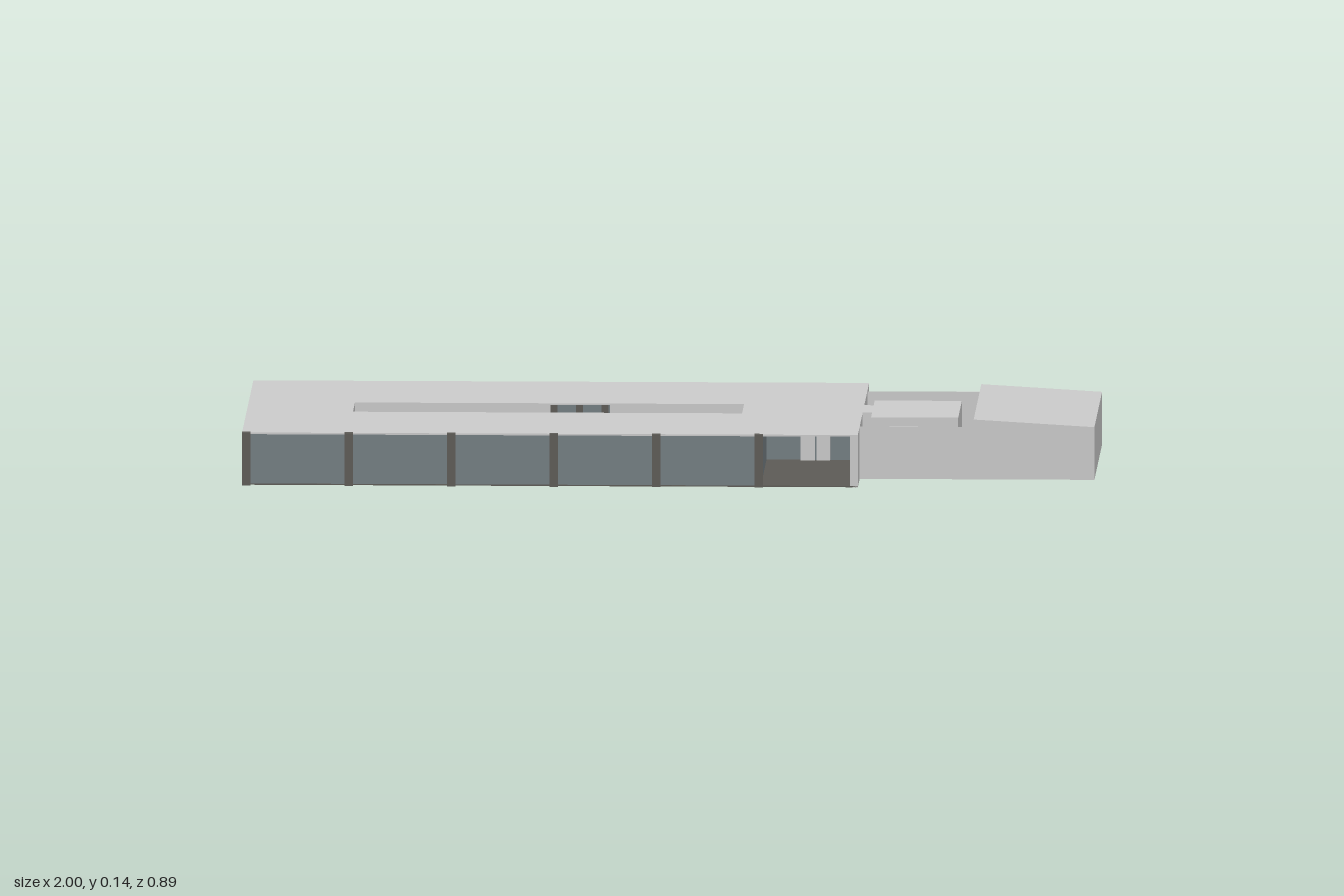
import * as THREE from 'three';

export function createModel() {
  const model = new THREE.Group();
  const mat = (name, color) => {
    const m = new THREE.MeshStandardMaterial({ color, side: THREE.DoubleSide });
    m.name = name;
    return m;
  };
  const concrete = mat('pale concrete', 0xcacaca);
  const dark = mat('dark stone', 0x5c5a55);
  const glass = mat('grey blue glass', 0x737d81);

  const add = (name, geometry, material) => {
    const mesh = new THREE.Mesh(geometry, material);
    mesh.name = name;
    model.add(mesh);
    return mesh;
  };
  // box given by its lower and upper limits on each axis
  const block = (name, material, x0, x1, y0, y1, z0, z1) => {
    const mesh = add(name, new THREE.BoxGeometry(x1 - x0, y1 - y0, z1 - z0), material);
    mesh.position.set((x0 + x1) / 2, (y0 + y1) / 2, (z0 + z1) / 2);
    return mesh;
  };

  const TOP = 0.124, CEIL = 0.12, T = 0.004;
  const FRONT = 0.432, BACK = -0.445, END = 0.448, BAY = 0.22;

  // floor slab, and roof with a long courtyard opening
  block('hallFloor', dark, -1, END, 0, 0.003, BACK, FRONT);
  const plan = new THREE.Shape([[-1, -FRONT], [END, -FRONT], [END, -BACK], [-1, -BACK]]
    .map(([x, y]) => new THREE.Vector2(x, y)));
  plan.holes.push(new THREE.Path([[-0.75, -0.075], [-0.75, 0.08], [0.165, 0.08], [0.165, -0.075]]
    .map(([x, y]) => new THREE.Vector2(x, y))));
  const roof = add('hallRoof',
    new THREE.ExtrudeGeometry(plan, { depth: TOP - CEIL, bevelEnabled: false }), concrete);
  roof.rotation.x = -Math.PI / 2;
  roof.position.y = CEIL;

  // long glazed facades, with open porches at the +x end
  block('frontGlazing', glass, -0.998, BAY, 0.003, CEIL, FRONT - 0.006, FRONT - 0.001);
  block('backGlazing', glass, -0.998, BAY, 0.003, CEIL, BACK + 0.002, BACK + 0.006);
  for (let i = 0; i < 6; i++) {
    const x = -0.99 + i * 0.241;
    block('frontColumn', dark, x - 0.01, x + 0.01, 0, TOP + 0.001, FRONT - 0.008, 0.445);
    block('backMullion', concrete, x - 0.008, x + 0.008, 0, CEIL, BACK, BACK + 0.01);
  }
  block('porchReturnFront', glass, BAY - T, BAY, 0.003, CEIL, 0.01, FRONT - 0.006);
  block('porchReturnBack', glass, BAY - T, BAY, 0.003, CEIL, BACK + 0.006, -0.02);
  block('porchScreen', glass, BAY, END - T, 0.003, CEIL, -0.01, -0.006);
  block('porchDoor', concrete, 0.3, 0.334, 0.003, 0.108, -0.004, 0.004);
  block('porchDoor', concrete, 0.338, 0.37, 0.003, 0.1, -0.004, 0.004);

  // end walls, each with a central opening
  block('linkEndWall', concrete, END - T, END, 0, CEIL, 0.055, FRONT);
  block('linkEndWall', concrete, END - T, END, 0, CEIL, BACK, -0.07);
  block('endWallStub', concrete, 0.43, END, 0, CEIL, FRONT - 0.005, FRONT);
  block('endWallStub', concrete, 0.43, END, 0, CEIL, BACK, BACK + 0.005);
  block('entranceWall', concrete, -1, -1 + T, 0, CEIL, BACK, -0.15);
  block('entranceWall', concrete, -1, -1 + T, 0, CEIL, 0.11, FRONT);
  block('entranceGlass', glass, -0.975, -0.972, 0.003, CEIL, -0.15, 0.11);
  for (const z of [-0.15, -0.11, 0.07, 0.1]) {
    block('entranceFrame', concrete, -1, -0.972, 0.003, CEIL, z, z + 0.01);
  }

  // courtyard sides: solid walls, glazing and doors
  for (const z of [-0.084, 0.075]) {
    block('courtWall', concrete, -0.75, -0.49, 0.003, CEIL, z, z + T);
  }
  block('courtEndWall', concrete, -0.754, -0.75, 0.003, CEIL, -0.084, 0.079);
  block('courtWall', concrete, -0.49, -0.29, 0.003, CEIL, -0.12, -0.116);
  block('courtWall', concrete, -0.15, 0.165, 0.003, CEIL, -0.084, -0.08);
  block('courtGlazing', glass, -0.29, -0.15, 0.003, CEIL, -0.1, -0.096);
  block('courtGlazing', glass, -0.49, -0.14, 0.003, CEIL, 0.075, 0.079);
  for (const x of [-0.29, -0.23, -0.17]) {
    block('courtPost', dark, x, x + 0.016, 0.003, CEIL, -0.095, -0.082);
  }
  block('courtDoor', dark, 0.1, 0.165, 0.003, CEIL, 0.075, 0.079);

  // small room joined to the hall by a narrow neck
  block('neckRoof', concrete, END, 0.472, CEIL, TOP, -0.07, 0.055);
  block('neckFloor', dark, END, 0.472, 0, 0.003, -0.07, 0.055);
  for (const z of [-0.07, 0.053]) {
    block('neckWall', concrete, END, 0.472, 0, CEIL, z, z + 0.002);
  }
  block('roomRoof', concrete, 0.47, 0.675, CEIL, TOP, -0.15, 0.132);
  block('roomFloor', dark, 0.47, 0.675, 0, 0.003, -0.15, 0.132);
  for (const z of [-0.15, 0.129]) {
    block('roomSideWall', concrete, 0.47, 0.675, 0.003, CEIL, z, z + 0.003);
  }
  block('roomEndWall', concrete, 0.672, 0.675, 0.003, CEIL, -0.147, 0.129);
  block('roomInnerWall', concrete, 0.47, 0.473, 0.003, CEIL, -0.147, -0.07);
  block('roomInnerWall', concrete, 0.47, 0.473, 0.003, CEIL, 0.055, 0.129);

  // yard walls that rise to carry the sloping shelter roof
  const profile = new THREE.Shape([[END, 0], [1, 0], [1, 0.122], [0.716, 0.139], [0.716, TOP], [END, TOP]]
    .map(([x, y]) => new THREE.Vector2(x, y)));
  for (const z of [-0.305, 0.288]) {
    add('yardWall', new THREE.ExtrudeGeometry(profile, { depth: 0.002, bevelEnabled: false }), concrete)
      .position.z = z;
  }
  block('yardEndWall', concrete, 0.998, 1, 0, 0.122, -0.305, 0.29);
  const slope = new THREE.Shape([[0.716, 0.139], [1, 0.122], [1, 0.125], [0.716, 0.142]]
    .map(([x, y]) => new THREE.Vector2(x, y)));
  add('shelterRoof', new THREE.ExtrudeGeometry(slope, { depth: 0.595, bevelEnabled: false }), concrete)
    .position.z = -0.305;

  return model;
}
